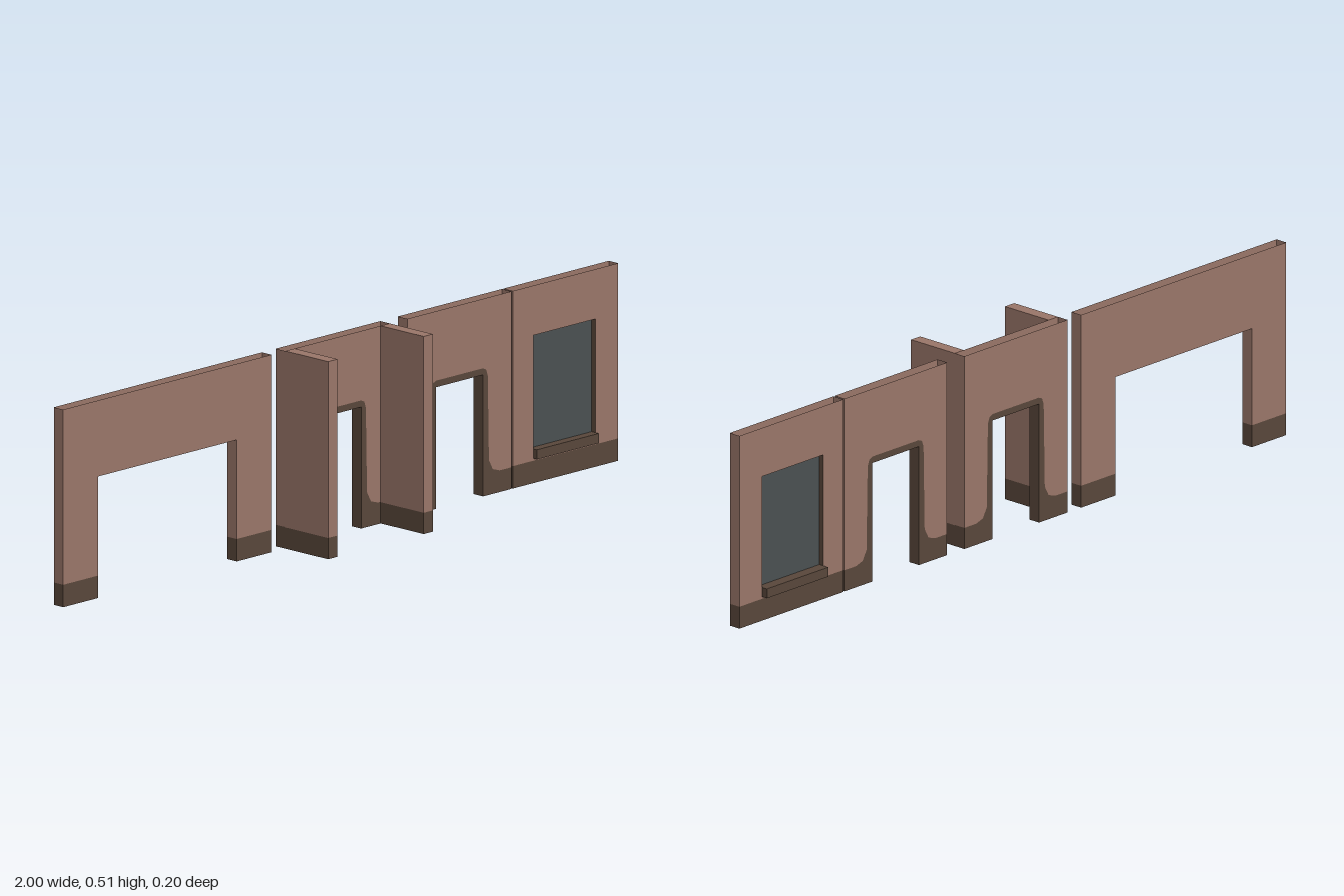
import * as THREE from 'three';

const H = 0.512, FRONT = -0.05, BACK = -0.083, BASE = 0.058, HEAD = 0.315;

export function createModel() {
  const root = new THREE.Group();
  const mat = (name, color) => {
    const m = new THREE.MeshStandardMaterial({ color, side: THREE.DoubleSide });
    m.name = name;
    return m;
  };
  const plaster = mat('plaster', 0x9a7669);
  const trim = mat('dark trim', 0x59473b);
  const glass = mat('glass', 0x4a5152);

  const group = (name) => {
    const g = new THREE.Group();
    g.name = name;
    root.add(g);
    return g;
  };
  const add = (parent, name, geo, material) => {
    const m = new THREE.Mesh(geo, material);
    m.name = name;
    parent.add(m);
    return m;
  };
  const outline = (pts) => new THREE.Shape(pts.map(([x, y]) => new THREE.Vector2(x, y)));

  // Matching front and back skins of a hollow wall
  const skins = (parent, name, pts, material) => {
    const geo = new THREE.ShapeGeometry(outline(pts));
    add(parent, name + 'Front', geo, material).position.z = FRONT;
    const back = geo.clone().rotateY(Math.PI).scale(-1, 1, 1);
    add(parent, name + 'Back', back, material).position.z = BACK;
  };

  // Strip through the wall thickness along a path
  const strip = (parent, name, pts, material, z0 = FRONT, z1 = BACK) => {
    const v = [];
    for (let i = 0; i < pts.length - 1; i++) {
      const [a, b] = pts[i], [c, d] = pts[i + 1];
      v.push(a, b, z0, c, d, z0, c, d, z1, a, b, z0, c, d, z1, a, b, z1);
    }
    const geo = new THREE.BufferGeometry();
    geo.setAttribute('position', new THREE.Float32BufferAttribute(v, 3));
    geo.computeVertexNormals();
    add(parent, name, geo, material);
  };

  // End of a wall, dark at the foot
  const upright = (parent, name, x, top, base = BASE) => {
    strip(parent, name, [[x, base], [x, top]], plaster);
    strip(parent, name + 'Base', [[x, 0], [x, base]], trim);
  };
  const rect = (x0, x1, y0, y1) => [[x0, y0], [x1, y0], [x1, y1], [x0, y1]];

  // Wide open portal
  const portal = group('portalWall');
  const [pl, pr, ol, or] = [-1, -0.25, -0.875, -0.375];
  skins(portal, 'wall', [[pl, BASE], [ol, BASE], [ol, HEAD], [or, HEAD],
    [or, BASE], [pr, BASE], [pr, H], [pl, H]], plaster);
  skins(portal, 'baseLeft', rect(pl, ol, 0, BASE), trim);
  skins(portal, 'baseRight', rect(or, pr, 0, BASE), trim);
  upright(portal, 'endLeft', pl, H);
  upright(portal, 'endRight', pr, H);
  upright(portal, 'jambLeft', ol, HEAD);
  upright(portal, 'jambRight', or, HEAD);
  strip(portal, 'lintel', [[ol, HEAD], [or, HEAD]], plaster);

  // Doorway wall with a rounded, flaring dark surround
  const doorway = (name, x0, x1, cx) => {
    const g = group(name);
    const half = [[0.145, 0.056], [0.12, 0.064], [0.106, 0.09],
      [0.102, 0.31], [0.096, 0.327], [0.084, 0.332]];
    const edge = [[x0, 0.056], ...half.map(([x, y]) => [cx - x, y]),
      ...half.slice().reverse().map(([x, y]) => [cx + x, y]), [x1, 0.056]];
    const hole = [[cx - 0.085, 0], [cx - 0.085, HEAD], [cx + 0.085, HEAD], [cx + 0.085, 0]];
    skins(g, 'wall', [...edge, [x1, H], [x0, H]], plaster);
    skins(g, 'surround', [...edge, [x1, 0], ...hole.slice().reverse(), [x0, 0]], trim);
    strip(g, 'jambs', hole, trim);
    upright(g, 'endLeft', x0, H, 0.056);
    upright(g, 'endRight', x1, H, 0.056);
    return g;
  };
  const alcove = doorway('alcoveDoorway', -0.2, 0.177, -0.011);
  doorway('plainDoorway', 0.24, 0.615, 0.428);

  // Short side walls projecting forward from the alcove
  for (const [name, x0, x1] of [['wingRight', -0.2, -0.166], ['wingLeft', 0.144, 0.177]]) {
    const path = [[x0, FRONT], [x0, 0.1], [x1, 0.1], [x1, FRONT]];
    const tier = (label, y0, y1, material) => {
      const v = [];
      for (let i = 0; i < 3; i++) {
        const [a, b] = path[i], [c, d] = path[i + 1];
        v.push(a, y0, b, c, y0, d, c, y1, d, a, y0, b, c, y1, d, a, y1, b);
      }
      const geo = new THREE.BufferGeometry();
      geo.setAttribute('position', new THREE.Float32BufferAttribute(v, 3));
      geo.computeVertexNormals();
      add(alcove, label, geo, material);
    };
    tier(name, 0.055, H, plaster);
    tier(name + 'Base', 0, 0.055, trim);
    const cap = new THREE.PlaneGeometry(x1 - x0, 0.15).rotateX(-Math.PI / 2);
    add(alcove, name + 'Cap', cap, plaster).position.set((x0 + x1) / 2, H, 0.025);
  }

  // Window wall
  const win = group('windowWall');
  const [wl, wr, gl, gr, gb, gt] = [0.621, 1, 0.694, 0.918, 0.075, 0.383];
  skins(win, 'wall', [[wl, BASE], [wr, BASE], [wr, H], [gr, H], [gr, gb],
    [gl, gb], [gl, gt], [gr, gt], [gr, H], [wl, H]], plaster);
  skins(win, 'base', rect(wl, wr, 0, BASE), trim);
  strip(win, 'underside', [[wl, 0], [wr, 0]], trim);
  upright(win, 'endLeft', wl, H);
  upright(win, 'endRight', wr, H);
  strip(win, 'reveal', [[gl, gb], [gl, gt], [gr, gt], [gr, gb], [gl, gb]], trim);
  const pane = new THREE.BoxGeometry(gr - gl, gt - gb, 0.006);
  add(win, 'pane', pane, glass).position.set((gl + gr) / 2, (gt + gb) / 2, (FRONT + BACK) / 2);
  const sill = new THREE.BoxGeometry(0.224, 0.025, 0.062);
  add(win, 'sill', sill, trim).position.set(0.806, 0.076, -0.069);

  return root;
}
